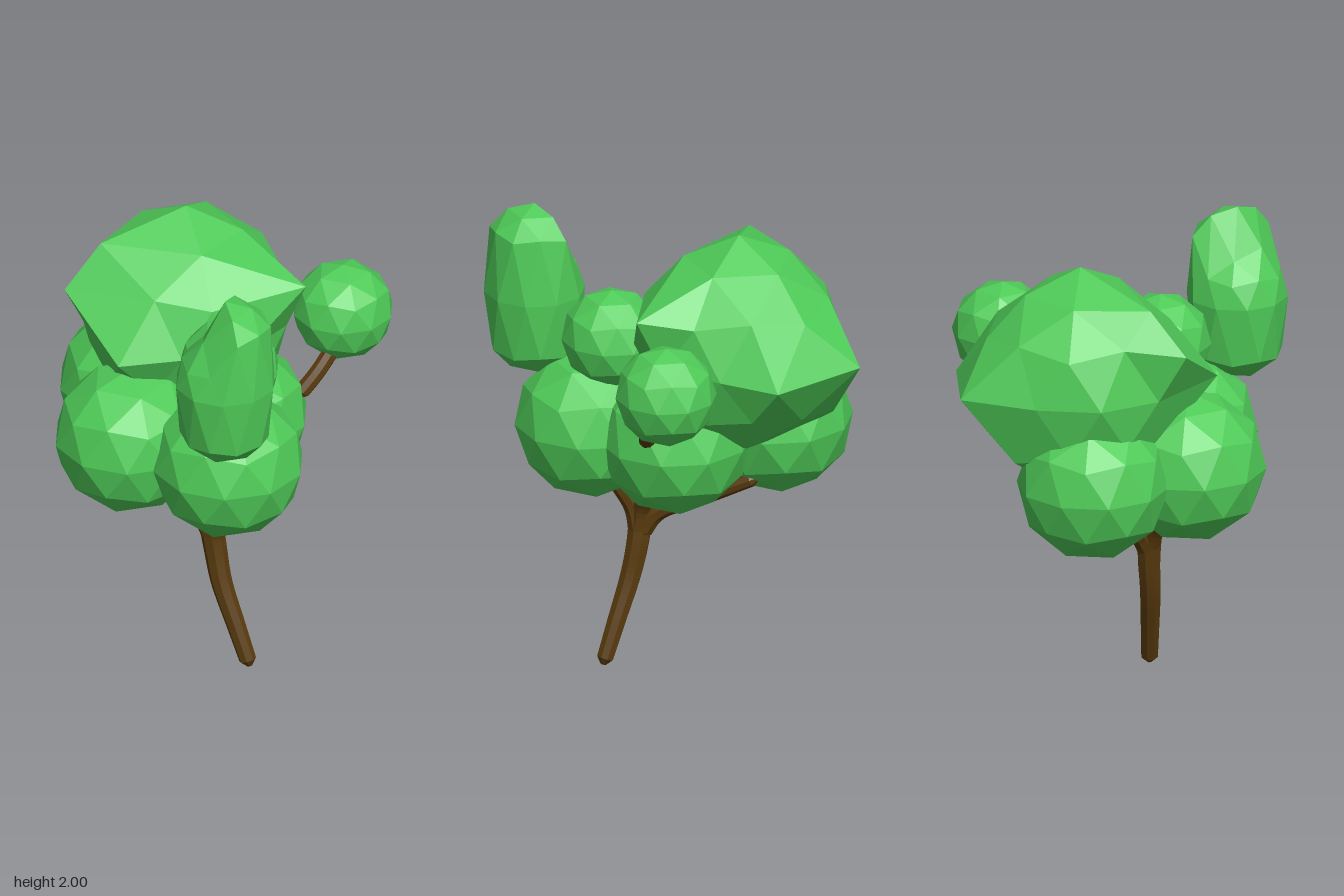
import * as THREE from 'three';

const leaf = new THREE.MeshStandardMaterial({ color: 0x4fcb58, flatShading: true });
const bark = new THREE.MeshStandardMaterial({ color: 0x5a3c0e, flatShading: true });
const v = (p) => new THREE.Vector3(...p);

// 80-sided ball with a vertex straight up; reshape(unit) may return an offset or a new place
function foliage(name, radius, centre, reshape) {
  const geo = new THREE.IcosahedronGeometry(1, 1);
  geo.rotateZ(-Math.atan(2 / (1 + Math.sqrt(5))));
  const pos = geo.attributes.position;
  const c = v(centre);
  for (let i = 0; i < pos.count; i++) {
    const unit = new THREE.Vector3().fromBufferAttribute(pos, i);
    const p = unit.clone().multiplyScalar(radius).add(c);
    if (reshape) reshape(p, unit);
    pos.setXYZ(i, p.x, p.y, p.z);
  }
  geo.computeVertexNormals();
  const mesh = new THREE.Mesh(geo, leaf);
  mesh.name = name;
  return mesh;
}

// tapered eight-sided limb along a curve, with both ends drawn together
function limb(name, points, r0, r1) {
  const path = new THREE.CatmullRomCurve3(points.map(v));
  const segs = Math.max(6, Math.round(path.getLength() / 0.03));
  const geo = new THREE.TubeGeometry(path, segs, 1, 8);
  const pos = geo.attributes.position;
  for (let i = 0; i <= segs; i++) {
    const centre = path.getPointAt(i / segs);
    const end = i === 0 || i === segs;
    const r = end ? 0.012 : THREE.MathUtils.lerp(r0, r1, i / segs);
    for (let j = 0; j <= 8; j++) {
      const k = i * 9 + j;
      const p = new THREE.Vector3().fromBufferAttribute(pos, k).sub(centre).multiplyScalar(r).add(centre);
      pos.setXYZ(k, p.x, p.y, p.z);
    }
  }
  geo.computeVertexNormals();
  const mesh = new THREE.Mesh(geo, bark);
  mesh.material.side = THREE.DoubleSide;
  mesh.name = name;
  return mesh;
}

export function createModel() {
  const tree = new THREE.Group();
  tree.name = 'tree';

  // Trunk and branches
  tree.add(limb('trunk', [[0.118, 0.005, 0.245], [0.06, 0.18, 0.215], [-0.005, 0.38, 0.18],
    [-0.03, 0.52, 0.16], [-0.05, 0.66, 0.153], [-0.055, 0.74, 0.15]], 0.036, 0.055));
  const fork = [-0.035, 0.56, 0.155];
  tree.add(limb('rightBranch', [fork, [-0.09, 0.68, 0.155], [-0.21, 0.8, 0.16], [-0.32, 0.92, 0.16]], 0.045, 0.03));
  tree.add(limb('frontBranch', [fork, [-0.03, 0.68, 0.18], [0, 0.78, 0.23], [0.03, 0.92, 0.32]], 0.045, 0.03));
  tree.add(limb('leftBranch', [fork, [-0.03, 0.68, 0.14], [0, 0.78, 0.09], [0.03, 0.95, 0]], 0.045, 0.03));
  tree.add(limb('backBranch', [fork, [-0.06, 0.67, 0.08], [-0.11, 0.75, -0.1], [-0.17, 0.865, -0.34]], 0.045, 0.028));
  tree.add(limb('sideTwig', [[0.305, 1.14, -0.065], [0.39, 1.24, -0.11], [0.48, 1.37, -0.18]], 0.035, 0.035));

  // Lower ring of foliage
  const lower = { rightFoliage: [-0.39, 0.155], frontFoliage: [0.03, 0.35], leftFoliage: [0.03, -0.05], backFoliage: [-0.39, -0.31] };
  for (const [name, [x, z]] of Object.entries(lower)) tree.add(foliage(name, 0.325, [x, 1.062, z]));

  // Small upper foliage
  tree.add(foliage('sideFoliage', 0.215, [0.49, 1.462, -0.255]));
  tree.add(foliage('upperFoliage', 0.215, [0.03, 1.462, 0.25]));

  // Tall foliage: upper half drawn upwards, with a notch on one side
  tree.add(foliage('tallFoliage', 0.215, [0.03, 1.462, 0.62], (p, u) => {
    if (u.y < -0.1) return;
    const notch = u.x < -0.2;
    p.y += u.y < 0.1 || notch ? 0.15 : 0.325;
    if (notch && u.y > 0.8 && u.z > 0) p.y += 0.04;
  }));

  // Crown: a large ball with several corners pulled out [from, to]
  const pulls = [
    [[-0.17, 1.91, -0.25], [-0.17, 1.953, -0.25]],
    [[-0.17, 1.46, -0.7], [-0.17, 1.46, -0.828]],
    [[0.095, 1.46, -0.614], [0.207, 1.437, -0.638]],
    [[-0.295, 1.26, -0.633], [-0.295, 1.18, -0.633]],
    [[0.14, 1.697, -0.025], [0.342, 1.695, -0.035]],
    [[-0.496, 1.66, -0.014], [-0.673, 1.665, -0.02]],
    [[-0.354, 1.843, -0.11], [-0.525, 1.842, -0.11]],
    [[-0.435, 1.46, 0.114], [-0.435, 1.46, 0.263]],
  ].map((pair) => pair.map(v));
  tree.add(foliage('crown', 0.45, [-0.17, 1.46, -0.25], (p) => {
    const pull = pulls.find(([from]) => from.distanceTo(p) < 0.05);
    if (pull) p.copy(pull[1]);
  }));

  return tree;
}
